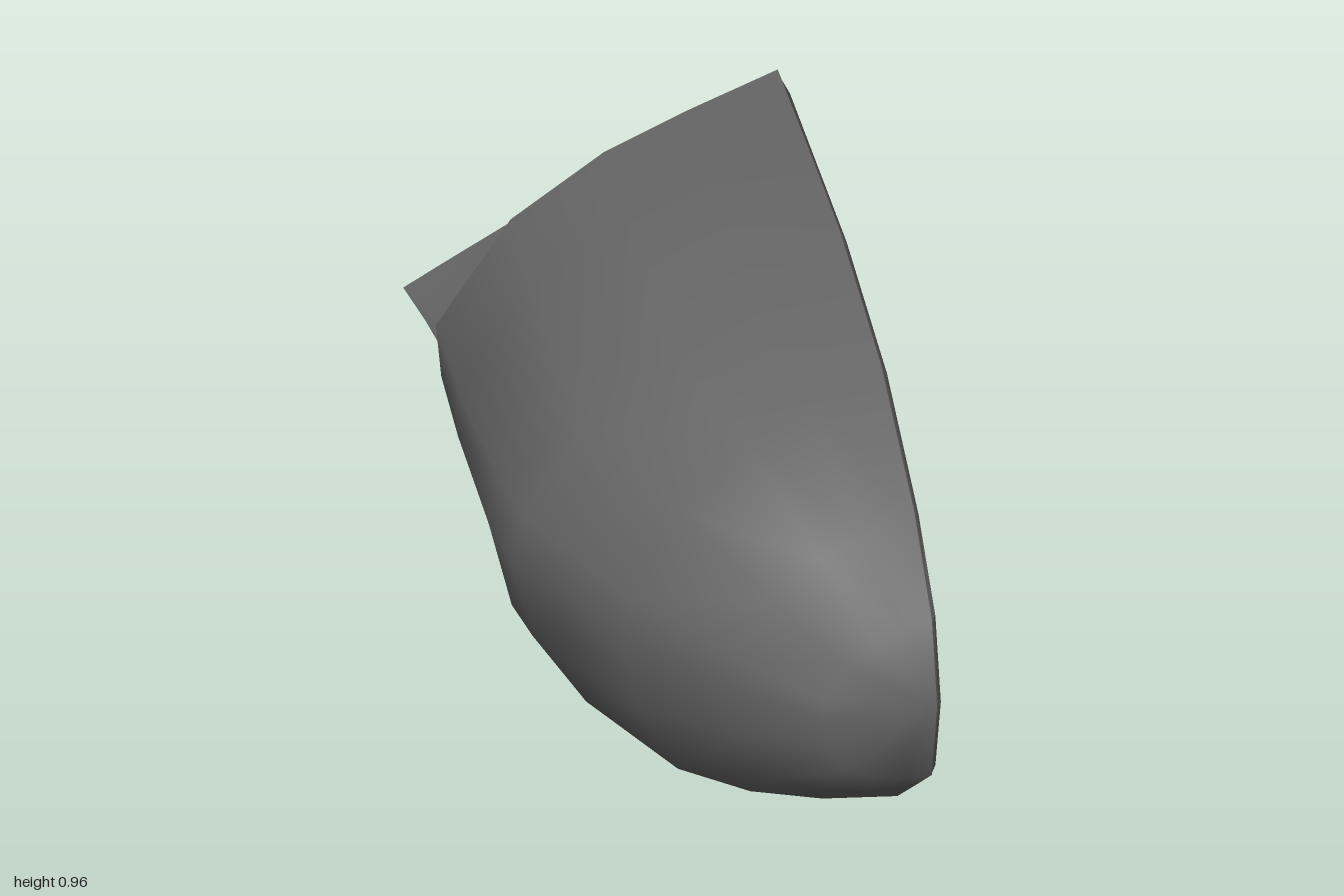
import * as THREE from 'three';
import { toCreasedNormals } from 'three/addons/utils/BufferGeometryUtils.js';

// Slanted frame: u runs along the mirror face, d is depth behind it
const place = (u, y, d) => [0.13 + 0.324 * u - 0.946 * d, y, -0.45 + 0.946 * u + 0.324 * d];
const lerp = THREE.MathUtils.lerp;

// Skin a grid of cross-sections; closed joins the ends of every section
function loft(rows, closed, crease) {
  const n = rows[0].length, index = [];
  for (let i = 0; i < rows.length - 1; i++) {
    for (let j = 0; j < (closed ? n : n - 1); j++) {
      const k = (j + 1) % n, a = i * n, b = a + n;
      index.push(a + j, a + k, b + j, a + k, b + k, b + j);
    }
  }
  const g = new THREE.BufferGeometry();
  g.setAttribute('position', new THREE.Float32BufferAttribute(rows.flat(2), 3));
  g.setIndex(index);
  return toCreasedNormals(g, crease);
}

// Section templates: [depth fraction, height fraction], top edge to bottom edge
const TRIANGLE = [[0, 1], [0.28, 0.82], [0.52, 0.66], [0.79, 0.48], [0.9, 0.405], [0.95, 0.37], [0.98, 0.35],
  [1, 0.335], [0.6, 0.2], [0.3, 0.1], [0, 0]];
const DOME = [[0, 1], [0.28, 0.98], [0.52, 0.945], [0.79, 0.84], [1, 0.62], [0.985, 0.5], [0.89, 0.3],
  [0.78, 0.155], [0.53, 0.095], [0.27, 0.04], [0, 0]];
const NOSE = [[0, 1], [0.28, 0.97], [0.52, 0.92], [0.79, 0.8], [0.97, 0.6], [1, 0.5], [0.94, 0.31],
  [0.79, 0.14], [0.53, 0.06], [0.27, 0.018], [0, 0]];

// Station: top u,y / outermost u,d / bottom u,y / blend between two templates
function section([uTop, yTop, uMid, depth, uBot, yBot, t], from, to) {
  return from.map(([f0, v0], i) => {
    const f = lerp(f0, to[i][0], t), v = lerp(v0, to[i][1], t);
    const u = lerp(i < 6 ? uTop : uBot, uMid, Math.sin(f * Math.PI / 2));
    return place(u, lerp(yBot, yTop, v), f * depth);
  });
}

const STALK = [
  [-0.585, 0.51, -0.58, 0.583, -0.482, 0.012, 0],
  [-0.5, 0.525, -0.46, 0.567, -0.4, 0.012, 0],
  [-0.26, 0.6, -0.14, 0.548, -0.22, 0.012, 0.07],
  [-0.14, 0.72, 0.02, 0.596, -0.1, 0.012, 0.4],
  [-0.06, 0.85, 0.11, 0.64, -0.03, 0.011, 0.72],
  [0, 0.95, 0.18, 0.675, 0.05, 0.01, 1],
];
const HOUSING = [
  [0, 0.95, 0.18, 0.675, 0.05, 0.01, 0],
  [0.3, 0.96, 0.39, 0.683, 0.35, 0.008, 0.3],
  [0.58, 0.965, 0.69, 0.68, 0.69, 0.005, 0.9],
  [0.78, 0.94, 0.82, 0.663, 0.9, 0.035, 1],
  [0.96, 0.915, 1.12, 0.521, 1.11, 0.07, 1],
  [1.27, 0.79, 1.34, 0.353, 1.29, 0.21, 1],
  [1.43, 0.66, 1.46, 0.207, 1.43, 0.32, 1],
  [1.48, 0.5, 1.48, 0.03, 1.48, 0.5, 1],
];

// Rim outlines as [z, y]
const OUTER = [[0.95, 0.5], [0.9, 0.66], [0.75, 0.79], [0.46, 0.915], [0.1, 0.965], [-0.42, 0.95], [-0.465, 0.89],
  [-0.46, 0.56], [-0.43, 0.24], [-0.38, 0.01], [0.2, 0.005], [0.6, 0.07], [0.9, 0.32]];
const INNER = [[0.89, 0.5], [0.85, 0.64], [0.71, 0.74], [0.47, 0.85], [0.13, 0.895], [-0.3, 0.898], [-0.43, 0.88],
  [-0.41, 0.56], [-0.35, 0.27], [-0.27, 0.07], [0.22, 0.07], [0.58, 0.14], [0.85, 0.36]];

// Ring between the inner (t = 0) and outer (t = 1) outline at depth d
const ring = (t, d) => INNER.map(([z, y], i) =>
  place((lerp(z, OUTER[i][0], t) + 0.45) / 0.946, lerp(y, OUTER[i][1], t), d));

export function createModel() {
  const group = new THREE.Group();
  const dark = new THREE.MeshStandardMaterial({ color: 0x666666, side: THREE.DoubleSide });
  const grey = new THREE.MeshStandardMaterial({ color: 0xcccccc, side: THREE.DoubleSide });
  const add = (name, geometry, material) => {
    const mesh = new THREE.Mesh(geometry, material);
    mesh.name = name;
    group.add(mesh);
  };

  // Rounded shell behind the mirror
  add('housing', loft(HOUSING.map(s => section(s, DOME, NOSE)), false, 1.1), dark);

  // Three-sided arm with an open end
  add('mountingArm', loft(STALK.map(s => section(s, TRIANGLE, DOME)), true, 0.7), dark);

  // Bevelled frame around the glass
  add('rim', loft([ring(0, 0.008), ring(0.35, -0.006), ring(0.75, -0.01), ring(1, 0)], true, 0.8), dark);

  // Flat mirror glass
  const centre = INNER.map(() => place(0.72, 0.5, 0.006));
  add('mirrorGlass', loft([centre, ring(0, 0.006)], true, 0.5), grey);

  return group;
}
